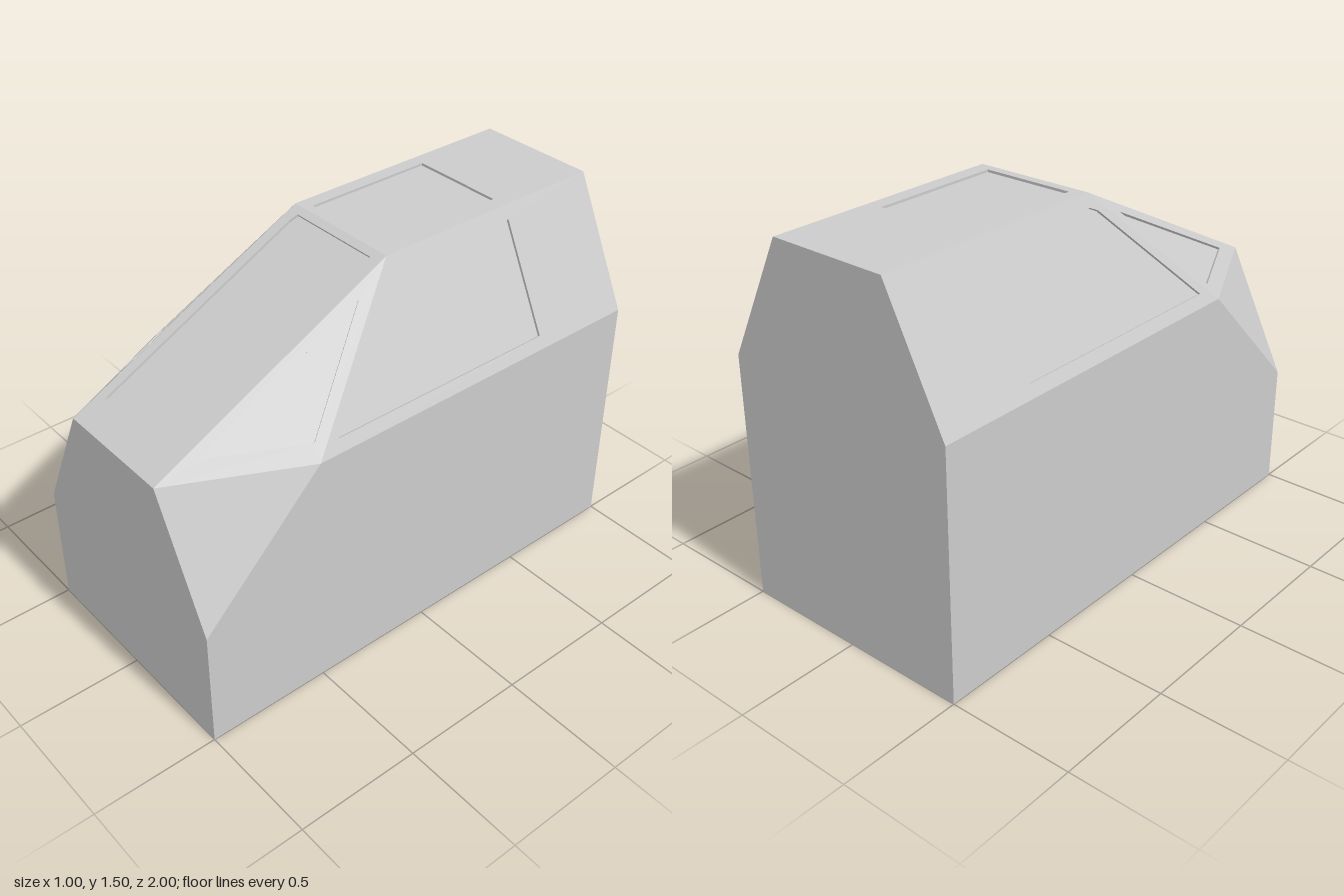
import * as THREE from 'three';

const DEPTH = 0.01; // how far each window pane is sunk
const material = new THREE.MeshStandardMaterial({ color: 0xcccccc, flatShading: true });

const mirror = (pts) => pts.map(([x, y, z]) => [-x, y, z]).reverse();

// Flat panel from corners (counter-clockwise seen from outside), with an optional sunk window
function panel(name, corners, opening) {
  const group = new THREE.Group();
  group.name = name;
  const P = corners.map((c) => new THREE.Vector3(...c));
  const u = P[1].clone().sub(P[0]).normalize();
  const n = u.clone().cross(P[2].clone().sub(P[1])).normalize();
  const v = n.clone().cross(u);
  const toWorld = new THREE.Matrix4().makeBasis(u, v, n).setPosition(P[0]);
  const toLocal = toWorld.clone().invert();
  const flatten = (pts) => pts.map((p) => {
    const q = new THREE.Vector3(...p).applyMatrix4(toLocal);
    return new THREE.Vector2(q.x, q.y);
  });
  const add = (part, geometry) => {
    const mesh = new THREE.Mesh(geometry.applyMatrix4(toWorld), material);
    mesh.name = part;
    group.add(mesh);
  };

  const shape = new THREE.Shape(flatten(corners));
  if (opening) {
    const ring = flatten(opening);
    shape.holes.push(new THREE.Path(ring));
    add(name + 'Pane', new THREE.ShapeGeometry(new THREE.Shape(ring)).translate(0, 0, -DEPTH));

    // walls of the recess, facing into the opening
    const walls = [];
    ring.forEach((a, i) => {
      const b = ring[(i + 1) % ring.length];
      walls.push(a.x, a.y, 0, b.x, b.y, 0, b.x, b.y, -DEPTH);
      walls.push(a.x, a.y, 0, b.x, b.y, -DEPTH, a.x, a.y, -DEPTH);
    });
    const geometry = new THREE.BufferGeometry();
    geometry.setAttribute('position', new THREE.Float32BufferAttribute(walls, 3));
    geometry.computeVertexNormals();
    add(name + 'Recess', geometry);
  }
  add(name + 'Skin', new THREE.ShapeGeometry(shape));
  return group;
}

export function createModel() {
  const model = new THREE.Group();
  model.name = 'cabin';

  // Centre panels
  model.add(
    panel('floor', [[-0.5, 0, -1], [0.5, 0, -1], [0.5, 0, 1], [-0.5, 0, 1]]),
    panel('back', [[0.5, 0, -1], [-0.5, 0, -1], [-0.5, 1, -1], [-0.25, 1.5, -1], [0.25, 1.5, -1], [0.5, 1, -1]]),
    panel('nose', [[-0.5, 0, 1], [0.5, 0, 1], [0.5, 0.5, 1], [0.25, 1, 1], [-0.25, 1, 1], [-0.5, 0.5, 1]]),
    panel('roof',
      [[-0.25, 1.5, 0], [0.25, 1.5, 0], [0.25, 1.5, -1], [-0.25, 1.5, -1]],
      [[-0.195, 1.5, -0.037], [0.19, 1.5, -0.037], [0.19, 1.5, -0.578], [-0.195, 1.5, -0.578]]),
  );

  // Windscreen with small cut corners
  const w = ([x, y]) => [x, y, 3 - 2 * y];
  model.add(panel('windscreen',
    [[-0.25, 1, 1], [0.25, 1, 1], [0.25, 1.5, 0], [-0.25, 1.5, 0]],
    [[-0.205, 1.055], [0.205, 1.055], [0.21, 1.06], [0.208, 1.468], [0.2, 1.485],
      [-0.2, 1.485], [-0.208, 1.468], [-0.21, 1.06]].map(w)));

  // Side panels, built on the left and mirrored to the right
  const s = ([z, y]) => [1 - y / 2, y, z];
  const sides = [
    ['lowerSide', [[0.5, 0, 1], [0.5, 0, -1], [0.5, 1, -1], [0.5, 1, 0.5], [0.5, 0.5, 1]]],
    ['cheek', [[0.5, 0.5, 1], [0.5, 1, 0.5], [0.25, 1, 1]]],
    ['quarterWindow',
      [[0.25, 1.5, 0], [0.25, 1, 1], [0.5, 1, 0.5]],
      [[0.28, 1.395, 0.15], [0.28, 1.053, 0.834], [0.453, 1.053, 0.488]]],
    ['sideWindow',
      [[0.5, 1, 0.5], [0.5, 1, -1], [0.25, 1.5, -1], [0.25, 1.5, 0]],
      [[0.405, 1.045], [-0.575, 1.045], [-0.575, 1.452], [-0.015, 1.452], [0.02, 1.435]].map(s)],
  ];
  for (const [name, corners, opening] of sides) {
    model.add(panel(name + 'Left', corners, opening));
    model.add(panel(name + 'Right', mirror(corners), opening && mirror(opening)));
  }
  return model;
}
